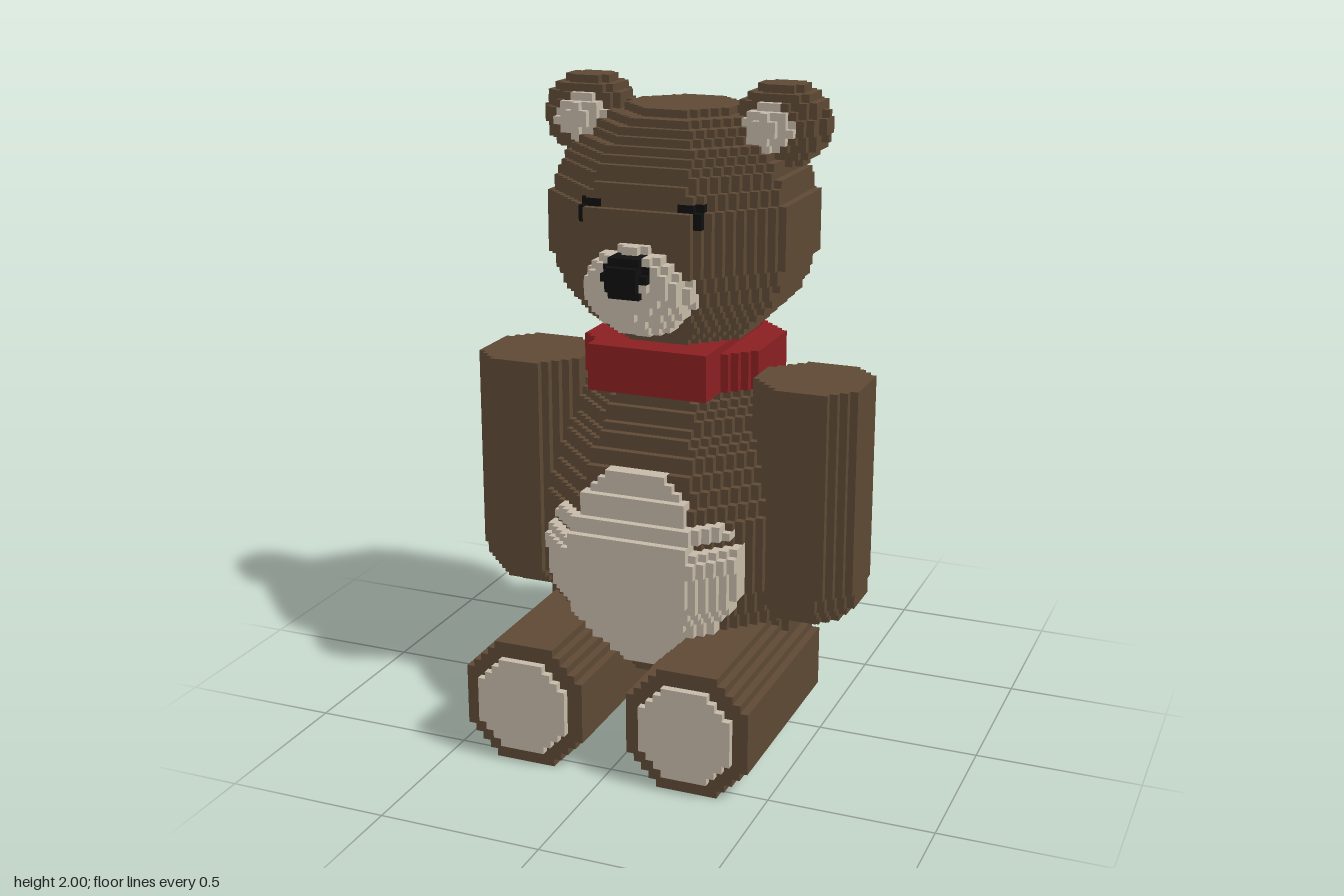
import * as THREE from 'three';

const S = 2 / 84;              // block edge
const NX = 56, NY = 84, NZ = 52;

const flat = (name, color) => {
  const m = new THREE.MeshStandardMaterial({ color });
  m.name = name;
  return m;
};

// octagonal "radius" of a point around an axis
const oct = (a, b) => Math.max(Math.abs(a), Math.abs(b), (Math.abs(a) + Math.abs(b)) * Math.SQRT1_2);
const ellipsoid = (x, y, z, rx, ry, rz) => (x / rx) ** 2 + (y / ry) ** 2 + (z / rz) ** 2 <= 1;

// piecewise linear profile [[y, value], ...]
function profile(points, y) {
  for (let i = 1; i < points.length; i++) {
    const [y0, v0] = points[i - 1], [y1, v1] = points[i];
    if (y >= y0 && y <= y1) return v0 + (v1 - v0) * (y - y0) / (y1 - y0);
  }
  return -1;
}

const BODY = [[0.1, 0.09], [0.13, 0.17], [0.2, 0.29], [0.3, 0.375], [0.4, 0.415], [0.5, 0.44],
  [0.6, 0.455], [0.7, 0.452], [0.8, 0.42], [0.9, 0.385], [1.0, 0.33], [1.1, 0.265]];
const BELLY = [[0.24, 0.07], [0.38, 0.22], [0.45, 0.275], [0.52, 0.31], [0.666, 0.31],
  [0.667, 0.18], [0.689, 0.18], [0.69, 0.28], [0.735, 0.27], [0.74, 0.18], [0.8, 0.165], [0.88, 0.09]];

const inBody = (x, y, z) => oct(x, z + 0.12) <= profile(BODY, y);
const inHead = (x, y, z) => {
  const h = 0.383 ** 2 - (y - 1.57) ** 2;
  return h > 0 && y < 1.93 && oct(x, z + 0.095) <= Math.sqrt(h);
};
const inArm = (x, y, z) => {
  if (y < 0.38 || y > 1.143) return false;
  const r = y < 0.5 ? 0.167 * Math.sqrt(1 - ((0.5 - y) / 0.12) ** 2) : 0.167;
  return oct(x - 0.455, z) <= r;
};

export function createModel() {
  const brown = flat('brownFur', 0x5f4a35);
  const cream = flat('creamFur', 0xc8bcaa);
  const red = flat('redCollar', 0x8c2022);
  const black = flat('black', 0x101010);

  // [name, material, mirrored pair, inside test]; later parts replace earlier ones
  const parts = [
    ['body', brown, false, inBody],
    ['bellyPatch', cream, false, (x, y, z) => {
      const bulge = y > 0.45 && y < 0.69 ? 0.05 : 0.026;
      return z > 0.1 && Math.abs(x) <= profile(BELLY, y) && inBody(x, y, z - bulge);
    }],
    ['head', brown, false, inHead],
    ['collar', red, false, (x, y, z) => y > 1.095 && y < 1.214 && oct(x, z + 0.107) <= 0.29],
    ['collarFront', red, false, (x, y, z) =>
      y > 1.095 && y < 1.238 && Math.abs(x) < 0.19 && z > -0.285 && z < 0.214],
    ['Arm', brown, true, inArm],
    ['Leg', brown, true, (x, y, z) => z > -0.12 && z < 0.548 && oct(x - 0.262, y - 0.19) <= 0.19],
    ['FootPad', cream, true, (x, y, z) => z > 0.547 && z < 0.572 && oct(x - 0.262, y - 0.192) <= 0.148],
    ['Ear', brown, true, (x, y, z) => ellipsoid(x - 0.31, y - 1.88, z + 0.107, 0.138, 0.125, 0.12)],
    ['InnerEar', cream, true, (x, y, z) => ellipsoid(x - 0.3, y - 1.88, z + 0.02, 0.08, 0.068, 0.068)],
    ['muzzle', cream, false, (x, y, z) => {
      const dz = Math.max(0, z - 0.19 - 0.25 * (y - 1.44));
      return z > 0 && (x / 0.162) ** 2 + ((y - 1.43) / 0.137) ** 2 + (dz / 0.185) ** 4 <= 1;
    }],
    ['nose', black, false, (x, y, z) => ellipsoid(x, y - 1.49, z - 0.33, 0.072, 0.07, 0.08)],
    ['Eye', black, true, (x, y, z) => z > 0.2 && inHead(x, y, z) && x < 0.19 && y < 1.69 &&
      ((x > 0.166 && y > 1.62) || (x > 0.12 && y > 1.667))],
  ];

  // fill the block grid with part numbers
  const grid = new Uint8Array(NX * NY * NZ);
  const at = (i, j, k) => (i < 0 || j < 0 || k < 0 || i >= NX || j >= NY || k >= NZ)
    ? 0 : grid[(i * NY + j) * NZ + k];
  const centre = (i, j, k) => [(i - NX / 2 + 0.5) * S, (j + 0.5) * S, (k - NZ / 2 + 0.5) * S];
  const eachCell = (fn) => {
    for (let i = 0; i < NX; i++)
      for (let j = 0; j < NY; j++)
        for (let k = 0; k < NZ; k++) fn(i, j, k);
  };
  eachCell((i, j, k) => {
    const [x, y, z] = centre(i, j, k);
    for (let p = parts.length - 1; p >= 0; p--) {
      if (parts[p][3](parts[p][2] ? Math.abs(x) : x, y, z)) {
        grid[(i * NY + j) * NZ + k] = p + 1;
        break;
      }
    }
  });

  // collect the exposed block faces of every part
  const buffers = new Map();
  eachCell((i, j, k) => {
    const p = at(i, j, k);
    if (!p) return;
    const c = centre(i, j, k);
    const [name, material, pair] = parts[p - 1];
    const full = pair ? (c[0] > 0 ? 'left' : 'right') + name : name;
    if (!buffers.has(full)) buffers.set(full, { material, pos: [], nor: [], idx: [] });
    const b = buffers.get(full);
    for (let axis = 0; axis < 3; axis++) {
      for (const side of [-1, 1]) {
        const n = [0, 0, 0];
        n[axis] = side;
        if (at(i + n[0], j + n[1], k + n[2])) continue;
        const u = (axis + 1) % 3, v = (axis + 2) % 3, base = b.pos.length / 3;
        for (const [du, dv] of [[-1, -1], [1, -1], [1, 1], [-1, 1]]) {
          const q = [...c];
          q[axis] += side * S / 2;
          q[u] += du * side * S / 2;
          q[v] += dv * S / 2;
          b.pos.push(...q);
          b.nor.push(...n);
        }
        b.idx.push(base, base + 1, base + 2, base, base + 2, base + 3);
      }
    }
  });

  const bear = new THREE.Group();
  bear.name = 'toyBear';
  for (const [name, b] of buffers) {
    if (!b.idx.length) continue;
    const g = new THREE.BufferGeometry();
    g.setAttribute('position', new THREE.Float32BufferAttribute(b.pos, 3));
    g.setAttribute('normal', new THREE.Float32BufferAttribute(b.nor, 3));
    g.setIndex(b.idx);
    const mesh = new THREE.Mesh(g, b.material);
    mesh.name = name;
    bear.add(mesh);
  }
  return bear;
}
